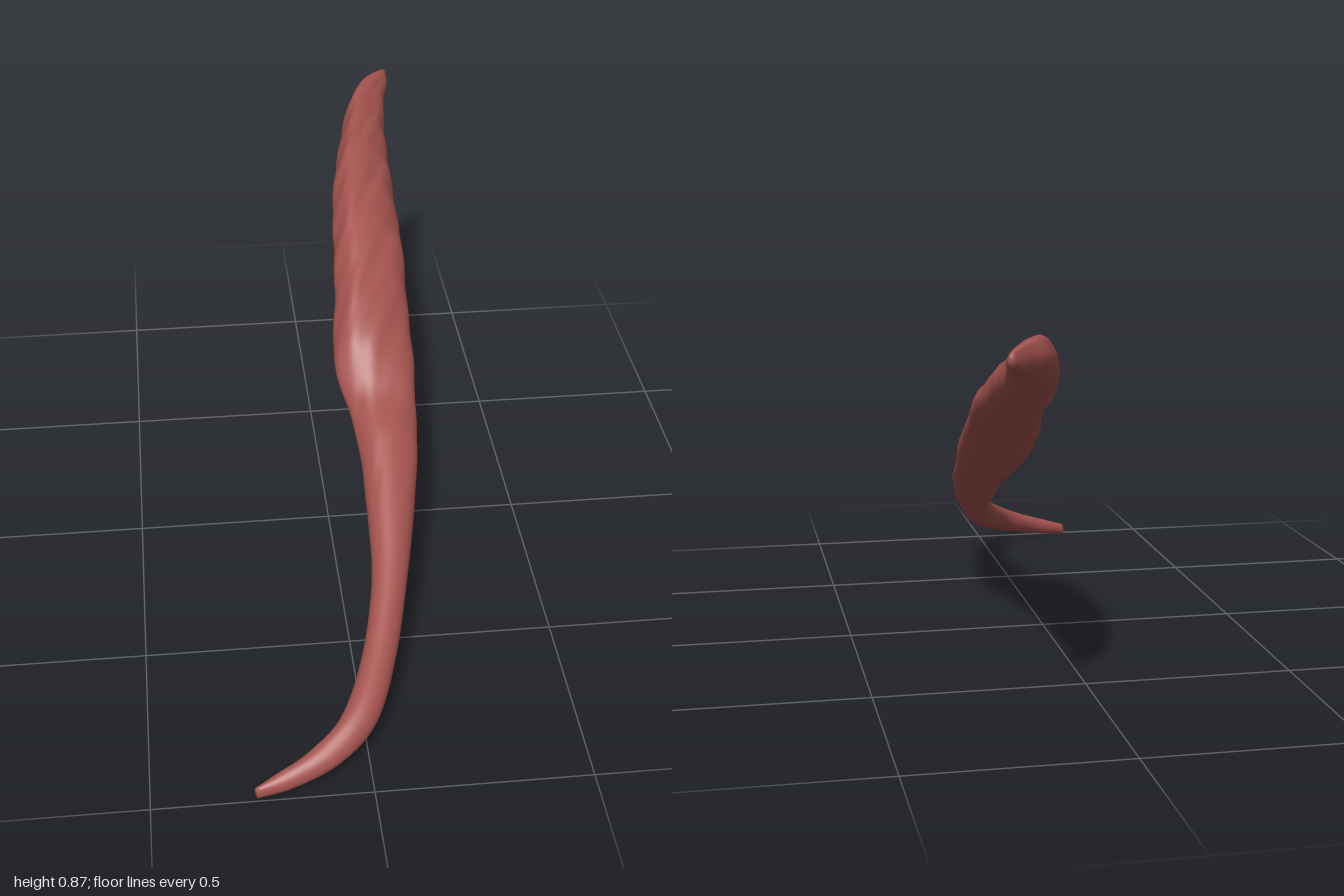
import * as THREE from 'three';

// Stations from the broad far end to the thin curled tail:
// left edge x, z, right edge x, z, lowest y, highest y, roundness (0 = blade, 1 = oval)
const STATIONS = [
  [0.25, -0.985, 0.272, -0.995, 0.825, 0.855, 0.6],
  [0.21, -0.94, 0.268, -0.95, 0.805, 0.866, 0.4],
  [0.165, -0.88, 0.252, -0.88, 0.785, 0.87, 0.2],
  [0.125, -0.77, 0.238, -0.77, 0.74, 0.86, 0.05],
  [0.085, -0.6, 0.231, -0.6, 0.685, 0.83, 0],
  [0.058, -0.45, 0.23, -0.45, 0.635, 0.79, 0],
  [0.045, -0.3, 0.229, -0.3, 0.59, 0.735, 0],
  [0.032, -0.15, 0.222, -0.15, 0.52, 0.662, 0],
  [0.014, 0, 0.219, 0, 0.432, 0.578, 0.1],
  [0.04, 0.1, 0.212, 0.1, 0.372, 0.474, 0.35],
  [0.055, 0.22, 0.2, 0.22, 0.318, 0.424, 0.6],
  [0.056, 0.37, 0.172, 0.37, 0.242, 0.35, 0.8],
  [0.048, 0.53, 0.135, 0.53, 0.185, 0.272, 1],
  [0.005, 0.71, 0.085, 0.715, 0.112, 0.193, 1],
  [-0.062, 0.86, 0.022, 0.868, 0.06, 0.134, 1],
  [-0.145, 0.927, -0.068, 0.948, 0.03, 0.088, 1],
  [-0.225, 0.962, -0.175, 0.986, 0.01, 0.055, 1],
  [-0.268, 0.982, -0.26, 0.998, 0.004, 0.034, 1],
];

// Blade section inside a unit box, clockwise from the left edge, ridge near the left
const BLADE = [[0, 0.5], [0.1, 0.8], [0.27, 1], [0.55, 0.92], [0.86, 0.66], [1, 0.35],
  [0.93, 0.12], [0.72, 0], [0.35, 0.02], [0.1, 0.2]];

function curve(points, closed = false) {
  return new THREE.CatmullRomCurve3(points.map((p) => new THREE.Vector3(...p)), closed, 'catmullrom', 0.5);
}

function muscleGeometry(rows = 140, sides = 48) {
  const left = curve(STATIONS.map((s) => [s[0], s[4], s[1]]));
  const right = curve(STATIONS.map((s) => [s[2], s[5], s[3]]));
  const blade = curve(BLADE.map(([u, v]) => [u, v, 0]), true);
  const positions = [];
  const index = [];

  for (let i = 0; i <= rows; i++) {
    const t = i / rows;
    const L = left.getPoint(t);
    const R = right.getPoint(t);
    const f = t * (STATIONS.length - 1);
    const k = Math.min(Math.floor(f), STATIONS.length - 2);
    const round = THREE.MathUtils.lerp(STATIONS[k][6], STATIONS[k + 1][6], f - k);
    for (let j = 0; j < sides; j++) {
      const a = (j / sides) * Math.PI * 2;
      const p = blade.getPoint(j / sides);
      const u = THREE.MathUtils.lerp(p.x, 0.5 - 0.5 * Math.cos(a), round);
      let v = THREE.MathUtils.lerp(p.y, 0.5 + 0.5 * Math.sin(a), round);
      const z = THREE.MathUtils.lerp(L.z, R.z, u);
      // Slanting fibre creases on the blade
      const crease = Math.sin(z * 23 + u * 15) * 0.6 + Math.sin(z * 52 + u * 24 + 1.3) * 0.4;
      v += crease * 0.025 * (1 - round);
      positions.push(
        THREE.MathUtils.lerp(L.x, R.x, u) + Math.sin(z * 47 + v * 5) * 0.0015 * (1 - round),
        THREE.MathUtils.lerp(L.y, R.y, v),
        z,
      );
    }
  }

  for (let i = 0; i < rows; i++) {
    for (let j = 0; j < sides; j++) {
      const n = (j + 1) % sides;
      const a = i * sides + j, b = i * sides + n;
      index.push(a, a + sides, b, b, a + sides, b + sides);
    }
  }

  // Close both tips with fans around their centres
  for (const row of [0, rows]) {
    const start = row * sides;
    const c = [0, 0, 0];
    for (let j = 0; j < sides; j++) {
      for (let d = 0; d < 3; d++) c[d] += positions[(start + j) * 3 + d] / sides;
    }
    const centre = positions.length / 3;
    positions.push(c[0], c[1], c[2] + (row ? 0.003 : -0.008));
    for (let j = 0; j < sides; j++) {
      const a = start + j, b = start + ((j + 1) % sides);
      if (row) index.push(centre, b, a);
      else index.push(centre, a, b);
    }
  }

  const geometry = new THREE.BufferGeometry();
  geometry.setAttribute('position', new THREE.Float32BufferAttribute(positions, 3));
  geometry.setIndex(index);
  geometry.computeVertexNormals();
  return geometry;
}

export function createModel() {
  const group = new THREE.Group();
  group.name = 'muscle';
  const muscleRed = new THREE.MeshStandardMaterial({ color: 0xa5544f });
  muscleRed.name = 'muscle red';
  const body = new THREE.Mesh(muscleGeometry(), muscleRed);
  body.name = 'muscleBody';
  group.add(body);
  return group;
}
